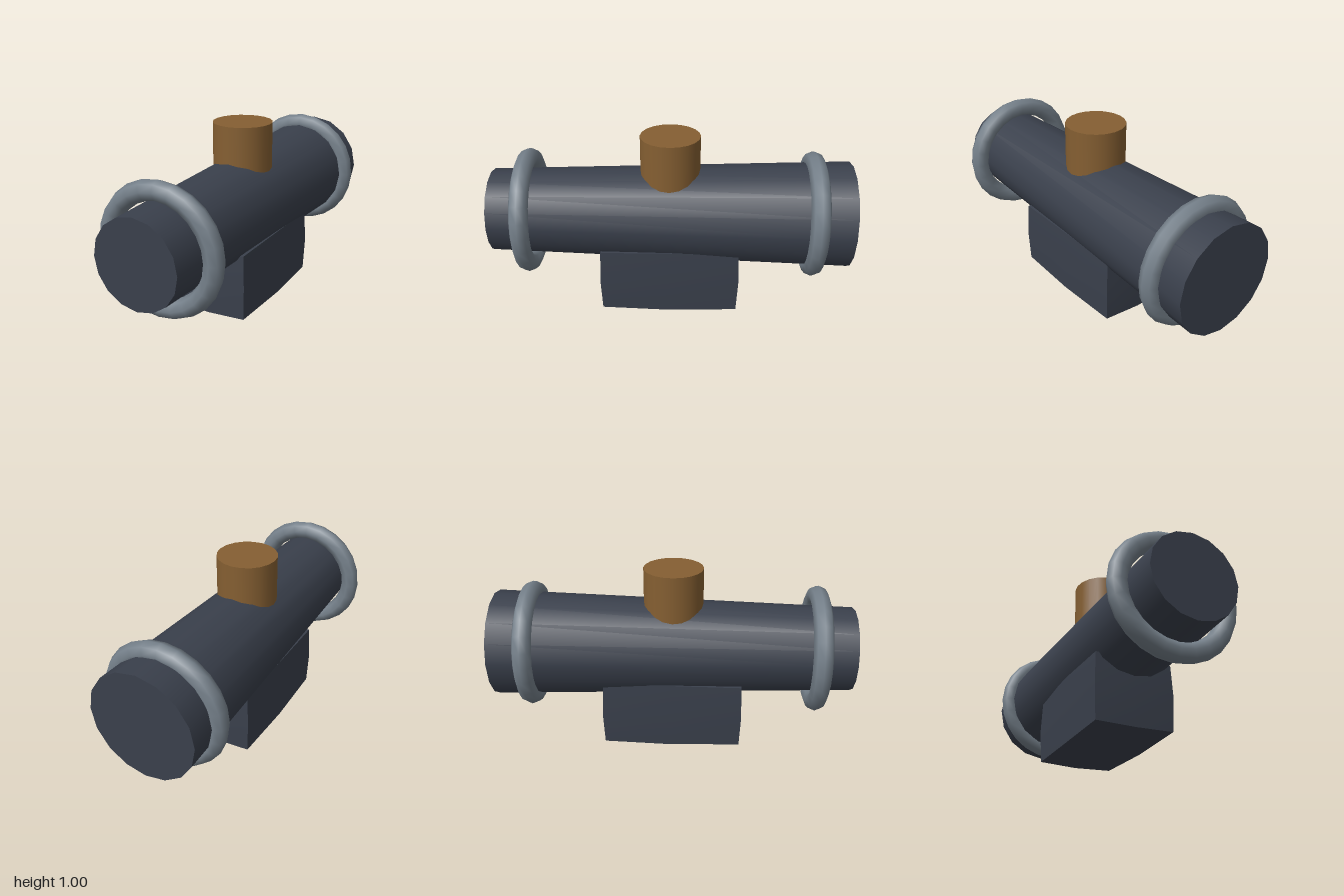
import * as THREE from 'three';

export function createModel() {
  const model = new THREE.Group();
  const darkIron = new THREE.MeshStandardMaterial({ name: 'darkIron', color: 0x3a404c });
  const steel = new THREE.MeshStandardMaterial({ name: 'steel', color: 0x747f89 });
  const wood = new THREE.MeshStandardMaterial({ name: 'wood', color: 0x855f32 });
  const axisY = 0.535;

  const add = (name, geometry, material, x, y, z) => {
    const mesh = new THREE.Mesh(geometry, material);
    mesh.name = name;
    mesh.position.set(x, y, z);
    model.add(mesh);
    return mesh;
  };

  // Tapered barrel, narrow end to the front
  const barrel = new THREE.CylinderGeometry(0.234, 0.298, 2, 16).rotateX(Math.PI / 2);
  add('barrel', barrel, darkIron, 0, axisY, 0);

  // Rings around both ends
  for (const [name, z] of [['frontRing', 0.8], ['rearRing', -0.8]]) {
    add(name, new THREE.TorusGeometry(0.3, 0.053, 8, 24), steel, 0, axisY, z);
  }

  // Upright stub on top, sunk into the barrel
  add('topStub', new THREE.CylinderGeometry(0.165, 0.165, 0.4, 20), wood, 0, 0.8, 0);

  // Base block with gently bulging faces
  const half = [0.232, 0.2, 0.398];
  const base = new THREE.BoxGeometry(2, 2, 2, 2, 2, 2);
  const pos = base.attributes.position;
  for (let i = 0; i < pos.count; i++) {
    const p = [pos.getX(i), pos.getY(i), pos.getZ(i)];
    const offCentre = p.reduce((sum, v) => sum + Math.abs(v), 0) - 1;
    const q = p.map((v, k) => v * (half[k] - 0.0075 * offCentre));
    pos.setXYZ(i, ...q);
  }
  base.computeVertexNormals();
  add('baseBlock', base, darkIron, 0, 0.2, 0);

  return model;
}
